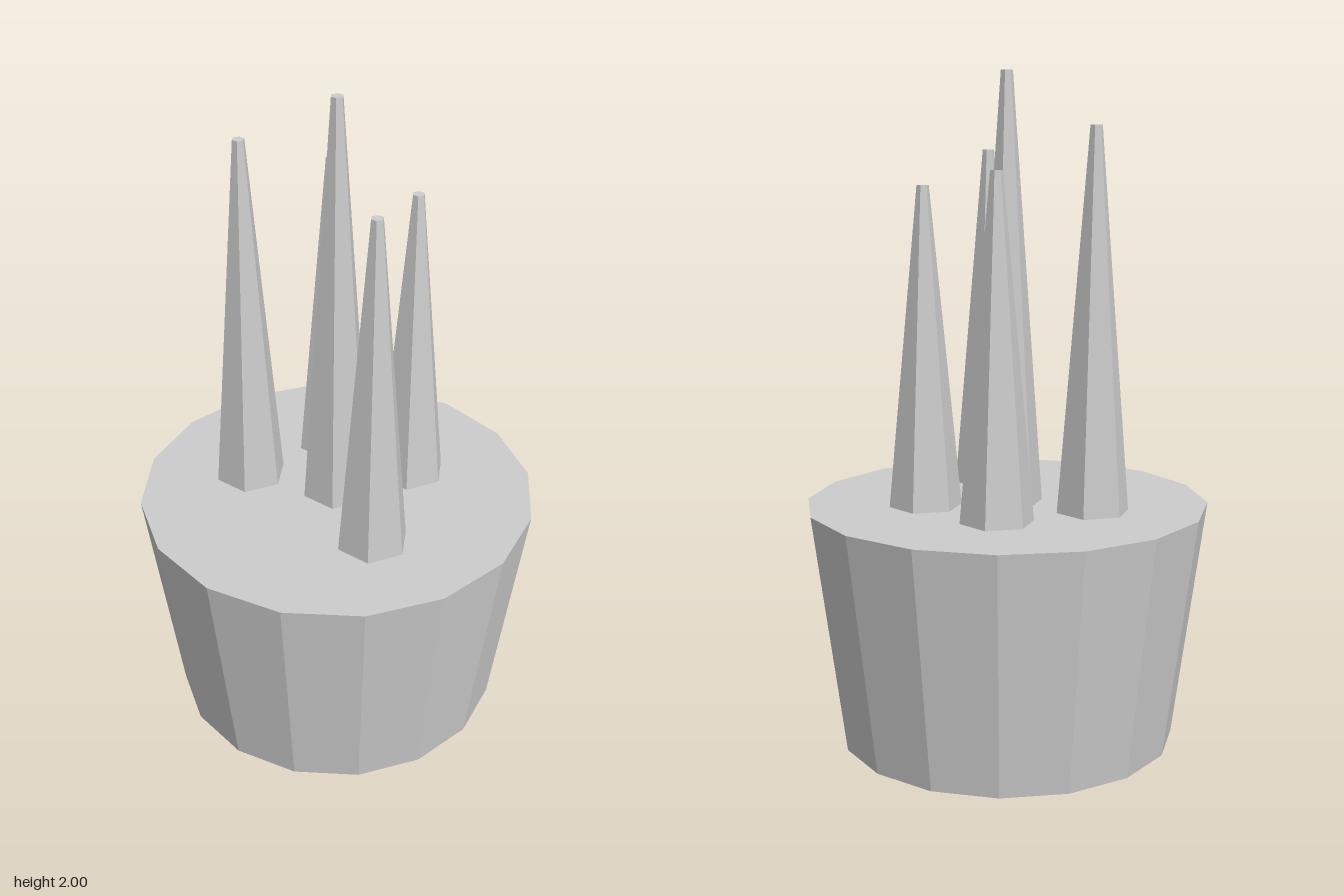
import * as THREE from 'three';

export function createModel() {
  const model = new THREE.Group();
  const grey = new THREE.MeshStandardMaterial({ color: 0xcccccc, flatShading: true });
  grey.name = 'light grey';

  // Tapered 16-sided base
  const baseHeight = 0.727;
  const base = new THREE.Mesh(new THREE.CylinderGeometry(0.605, 0.508, baseHeight, 16), grey);
  base.name = 'base';
  base.position.y = baseHeight / 2;
  model.add(base);

  // Hexagonal spikes standing on the base: x, z, tip height
  const spikes = [
    [0, 0, 2],
    [-0.267, 0.097, 1.843],
    [-0.17, -0.195, 1.72],
    [0.121, -0.218, 1.674],
    [0.242, 0.145, 1.773],
  ];
  spikes.forEach(([x, z, tip], i) => {
    const height = tip - baseHeight;
    const geometry = new THREE.CylinderGeometry(0.018, 0.109, height, 6, 1, false, Math.PI / 2);
    const spike = new THREE.Mesh(geometry, grey);
    spike.name = `spike${i + 1}`;
    spike.position.set(x, baseHeight + height / 2, z);
    model.add(spike);
  });

  return model;
}
